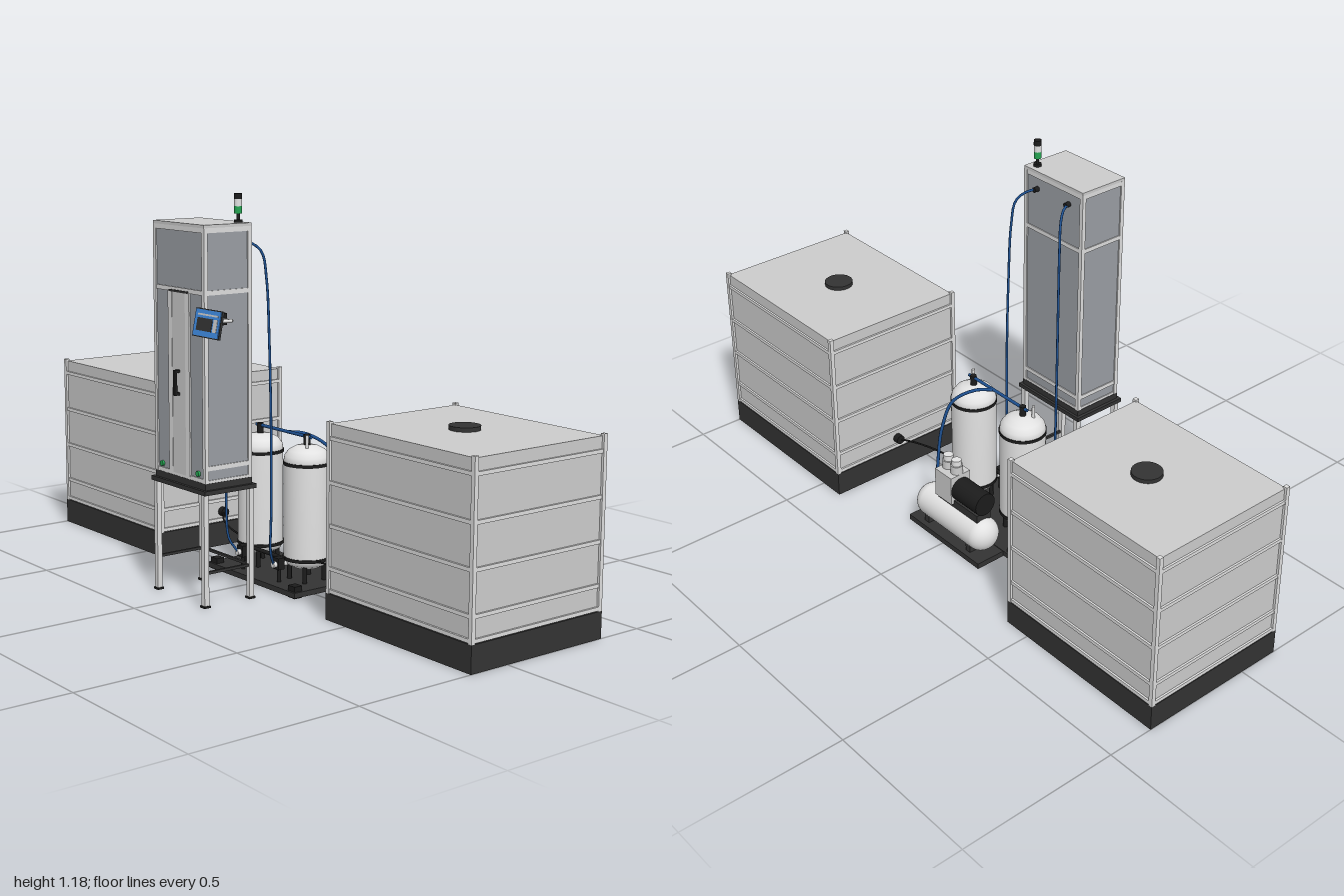
import * as THREE from 'three';

const mat = (name, color) => {
  const m = new THREE.MeshStandardMaterial({ color });
  m.name = name;
  return m;
};

export function createModel() {
  const M = {
    panel: mat('tank panel grey', 0xcccccc),
    frame: mat('aluminium frame', 0xdedede),
    white: mat('vessel white', 0xe2e2e2),
    glass: mat('cabinet panel grey', 0x9a9ea4),
    dark: mat('dark base', 0x333333),
    black: mat('black fittings', 0x1c1c1c),
    blue: mat('screen blue', 0x3f8ae0),
    hose: mat('hose blue', 0x1d4f8f),
    green: mat('signal green', 0x25a552),
  };
  const root = new THREE.Group();
  root.name = 'gasGenerationPlant';
  const group = (name) => {
    const g = new THREE.Group();
    g.name = name;
    root.add(g);
    return g;
  };
  const add = (p, name, geo, m, x = 0, y = 0, z = 0) => {
    const mesh = new THREE.Mesh(geo, m);
    mesh.name = name;
    mesh.position.set(x, y, z);
    p.add(mesh);
    return mesh;
  };
  // Box from its minimum and maximum corners
  const box = (p, name, m, x0, x1, y0, y1, z0, z1) =>
    add(p, name, new THREE.BoxGeometry(x1 - x0, y1 - y0, z1 - z0), m, (x0 + x1) / 2, (y0 + y1) / 2, (z0 + z1) / 2);
  // Cylinder between two points
  const rod = (p, name, m, a, b, r, seg = 20) => {
    const A = new THREE.Vector3(...a), B = new THREE.Vector3(...b);
    const d = B.clone().sub(A);
    const c = A.clone().add(B).multiplyScalar(0.5);
    const mesh = add(p, name, new THREE.CylinderGeometry(r, r, d.length(), seg), m, c.x, c.y, c.z);
    mesh.quaternion.setFromUnitVectors(new THREE.Vector3(0, 1, 0), d.normalize());
    return mesh;
  };
  const tube = (p, name, m, pts, r) => add(p, name, new THREE.TubeGeometry(
    new THREE.CatmullRomCurve3(pts.map((q) => new THREE.Vector3(...q))), 60, r, 10), m);

  // Storage tanks, one on each side
  for (const s of [-1, 1]) {
    const t = group(s > 0 ? 'leftTank' : 'rightTank');
    const cx = s * 0.7075, hw = 0.2925, z0 = -0.355, z1 = 0.13;
    const x0 = cx - hw, x1 = cx + hw, e = 0.007;
    box(t, 'tankBase', M.dark, x0, x1, 0, 0.078, z0, z1);
    box(t, 'tankBody', M.panel, x0 + e, x1 - e, 0.078, 0.561, z0 + e, z1 - e);
    for (const px of [x0, x1 - 0.013]) for (const pz of [z0, z1 - 0.013]) {
      box(t, 'tankPost', M.frame, px, px + 0.013, 0.078, 0.567, pz, pz + 0.013);
    }
    for (const y of [0.08, 0.145, 0.267, 0.39, 0.515]) {
      for (const z of [z0 + 0.001, z1 - 0.011]) box(t, 'tankRail', M.frame, x0 + 0.013, x1 - 0.013, y, y + 0.011, z, z + 0.01);
      for (const x of [x0 + 0.001, x1 - 0.011]) box(t, 'tankRail', M.frame, x, x + 0.01, y, y + 0.011, z0 + 0.013, z1 - 0.013);
    }
    add(t, 'tankLid', new THREE.CylinderGeometry(0.044, 0.044, 0.012, 40), M.dark, cx, 0.567, -0.113);
    // Outlet and supply line to the skid
    rod(t, 'tankOutlet', M.black, [s * 0.425, 0.112, -0.113], [s * 0.402, 0.112, -0.113], 0.015);
    tube(t, 'supplyLine', M.black, [[s * 0.41, 0.112, -0.113], [s * 0.36, 0.104, -0.075],
      [s * 0.28, 0.096, -0.043], [s * 0.2, 0.09, -0.028], [s * 0.14, 0.09, -0.02]], 0.003);
  }

  // Cabinet
  const c = group('cabinet');
  const X0 = -0.13, X1 = 0.125, Z0 = 0.17, Z1 = 0.335, w = 0.013, d = 0.004;
  box(c, 'cabinetBody', M.glass, X0 + d, X1 - d, 0.345, 1.09, Z0 + d, Z1 - d);
  box(c, 'cabinetRoof', M.panel, X0, X1, 1.088, 1.097, Z0, Z1);
  box(c, 'cabinetPlinth', M.dark, X0, X1, 0.345, 0.364, Z0, Z1);
  for (const x of [X0, X1 - w]) for (const z of [Z0, Z1 - w]) {
    box(c, 'cabinetPost', M.frame, x, x + w, 0.364, 1.09, z, z + w);
  }
  for (const [y, h] of [[0.364, 0.008], [0.4, 0.013], [0.9, 0.013], [1.074, 0.014]]) {
    const front = y === 0.4 ? 0.01 : 0.001;
    box(c, 'cabinetBand', M.frame, X0 + 0.001, X1 - 0.001, y, y + h, Z0 + 0.001, Z1 - front);
  }
  // Front door with centre strip and handle
  box(c, 'door', M.panel, -0.056, 0.05, 0.372, 0.902, Z1 - 0.01, Z1);
  for (const x of [-0.056, 0.03]) box(c, 'doorBorder', M.frame, x, x + 0.02, 0.372, 0.902, Z1 - 0.002, Z1 + 0.001);
  box(c, 'doorTopGrip', M.dark, -0.05, 0.044, 0.899, 0.905, Z1 - 0.002, Z1 + 0.002);
  box(c, 'doorHandle', M.black, -0.008, 0.002, 0.603, 0.677, 0.345, 0.353);
  for (const y of [0.603, 0.669]) box(c, 'handleMount', M.black, -0.008, 0.002, y, y + 0.008, Z1, 0.348);
  for (const x of [-0.095, 0.088]) {
    rod(c, 'pilotLight', M.green, [x, 0.388, Z1 - 0.006], [x, 0.388, Z1 + 0.003], 0.008);
  }
  box(c, 'lowerTrim', M.frame, X0 + w, X1 - w, 0.364, 0.376, Z1 - 0.008, Z1 - 0.001);

  // Stand under the cabinet
  const st = group('stand');
  box(st, 'standTop', M.dark, -0.14, 0.135, 0.332, 0.345, 0.162, 0.344);
  for (const x of [-0.123, 0.118]) {
    for (const z of [0.173, 0.333]) {
      box(st, 'standLeg', M.frame, x - 0.008, x + 0.008, 0.006, 0.332, z - 0.008, z + 0.008);
      box(st, 'standFoot', M.black, x - 0.011, x + 0.011, 0, 0.006, z - 0.011, z + 0.011);
    }
    box(st, 'sideBrace', M.dark, x - 0.004, x + 0.004, 0.097, 0.105, 0.181, 0.325);
  }
  box(st, 'rearBrace', M.dark, -0.115, 0.11, 0.097, 0.105, 0.169, 0.177);

  // Signal beacon
  const b = group('beacon');
  for (const [name, m, y0, y1, r] of [['beaconBase', M.black, 1.097, 1.105, 0.012], ['beaconPole', M.black, 1.105, 1.122, 0.005],
    ['beaconGreen', M.green, 1.122, 1.143, 0.011], ['beaconClear', M.white, 1.143, 1.163, 0.011],
    ['beaconCap', M.black, 1.163, 1.179, 0.0115]]) {
    rod(b, name, m, [0.097, y0, 0.197], [0.097, y1, 0.197], r, 24);
  }

  // Control screen on a folding arm
  const s = group('controlScreen');
  box(s, 'armMount', M.black, 0.124, 0.136, 0.815, 0.848, 0.265, 0.297);
  rod(s, 'armInner', M.frame, [0.136, 0.832, 0.281], [0.178, 0.832, 0.277], 0.004);
  rod(s, 'armOuter', M.frame, [0.178, 0.832, 0.277], [0.14, 0.828, 0.333], 0.005);
  add(s, 'armJoint', new THREE.SphereGeometry(0.01, 20, 14), M.black, 0.145, 0.828, 0.333);
  const scr = new THREE.Group();
  scr.name = 'screen';
  scr.position.set(0.157, 0.827, 0.345);
  scr.rotation.x = -0.2;
  s.add(scr);
  box(scr, 'screenCase', M.dark, -0.063, 0.063, -0.04, 0.04, -0.004, 0.003);
  box(scr, 'screenFace', M.blue, -0.06, 0.06, -0.037, 0.037, 0.003, 0.005);
  box(scr, 'screenDisplay', M.dark, -0.046, 0.026, -0.022, 0.014, 0.005, 0.006);
  box(scr, 'screenHeader', M.panel, -0.046, 0.05, 0.021, 0.026, 0.005, 0.006);
  box(scr, 'screenKeys', M.panel, 0.032, 0.05, -0.022, 0.014, 0.005, 0.006);

  // Process skid
  const k = group('skid');
  box(k, 'skidPlate', M.dark, -0.22, 0.215, 0.004, 0.02, -0.165, 0.085);
  for (const x of [-0.198, 0.193]) for (const z of [-0.145, 0.065]) {
    box(k, 'skidPad', M.black, x - 0.016, x + 0.016, 0, 0.036, z - 0.014, z + 0.014);
  }
  // Pressure vessels: domed profile from bottom to top
  const profile = [[0, 0.055], [0.04, 0.06], [0.062, 0.072], [0.07, 0.09], [0.07, 0.385], [0.067, 0.4],
    [0.055, 0.416], [0.035, 0.427], [0, 0.432]].map((q) => new THREE.Vector2(...q));
  for (const sx of [-1, 1]) {
    const x = sx * 0.115, z = -0.04;
    add(k, 'vessel', new THREE.LatheGeometry(profile, 40), M.white, x, 0, z);
    for (const y of [0.09, 0.378]) add(k, 'vesselBand', new THREE.CylinderGeometry(0.072, 0.072, 0.01, 40), M.black, x, y, z);
    for (let i = 0; i < 4; i++) {
      const a = Math.PI / 4 + i * Math.PI / 2, lx = x + 0.052 * Math.cos(a), lz = z + 0.052 * Math.sin(a);
      rod(k, 'vesselLeg', M.black, [lx, 0.02, lz], [lx, 0.085, lz], 0.007, 10);
    }
    rod(k, 'topFitting', M.black, [x, 0.428, z], [x, 0.462, z], 0.01);
    rod(k, 'topGauge', M.frame, [x + sx * 0.025, 0.42, z + 0.02], [x + sx * 0.025, 0.465, z + 0.02], 0.005);
    // Front valve under each vessel
    rod(k, 'valvePipe', M.frame, [sx * 0.09, 0.075, 0.0], [sx * 0.09, 0.075, 0.07], 0.009);
    box(k, 'valveBody', M.black, sx * 0.09 - 0.014, sx * 0.09 + 0.014, 0.06, 0.095, 0.035, 0.058);
    rod(k, 'valveStand', M.black, [sx * 0.09, 0.02, 0.046], [sx * 0.09, 0.062, 0.046], 0.006);
    // Tall hose from the cabinet back to the valve
    tube(k, 'cabinetHose', M.hose, [[sx * 0.068, 1.04, 0.17], [sx * 0.08, 1.036, 0.142], [sx * 0.098, 1.01, 0.115],
      [sx * 0.107, 0.93, 0.104], [sx * 0.112, 0.75, 0.098], [sx * 0.115, 0.5, 0.094], [sx * 0.113, 0.25, 0.092],
      [sx * 0.105, 0.12, 0.088], [sx * 0.09, 0.078, 0.066]], 0.0038);
    rod(k, 'hoseSocket', M.black, [sx * 0.068, 1.04, 0.176], [sx * 0.068, 1.04, 0.158], 0.008);
  }
  rod(k, 'crossPipe', M.hose, [-0.135, 0.455, -0.04], [0.135, 0.455, -0.04], 0.005);
  rod(k, 'frontManifold', M.black, [-0.1, 0.09, 0.03], [0.1, 0.09, 0.03], 0.006);
  tube(k, 'compressorHose', M.hose, [[0.02, 0.455, -0.04], [0.06, 0.45, -0.08], [0.105, 0.41, -0.13],
    [0.122, 0.32, -0.16], [0.125, 0.22, -0.175], [0.122, 0.12, -0.185]], 0.005);

  // Compressor on its own receiver
  const p = group('compressor');
  box(p, 'compressorPlate', M.dark, -0.17, 0.165, 0, 0.018, -0.263, -0.145);
  const receiver = add(p, 'receiver', new THREE.CapsuleGeometry(0.054, 0.27, 10, 36), M.white, -0.002, 0.078, -0.205);
  receiver.rotation.z = Math.PI / 2;
  receiver.scale.y = 0.87;
  for (const x of [-0.1, 0.1]) box(p, 'receiverSaddle', M.dark, x - 0.01, x + 0.01, 0.015, 0.045, -0.245, -0.165);
  box(p, 'motorMount', M.dark, -0.125, 0.06, 0.125, 0.152, -0.228, -0.175);
  rod(p, 'motor', M.black, [-0.13, 0.185, -0.2], [-0.015, 0.185, -0.2], 0.037, 28);
  box(p, 'pumpBlock', M.panel, -0.015, 0.062, 0.14, 0.235, -0.238, -0.164);
  for (const x of [0.004, 0.043]) {
    rod(p, 'pumpCylinder', M.panel, [x, 0.235, -0.2], [x, 0.262, -0.2], 0.019, 24);
    rod(p, 'pumpHead', M.white, [x, 0.262, -0.2], [x, 0.28, -0.2], 0.015, 24);
  }
  return root;
}
